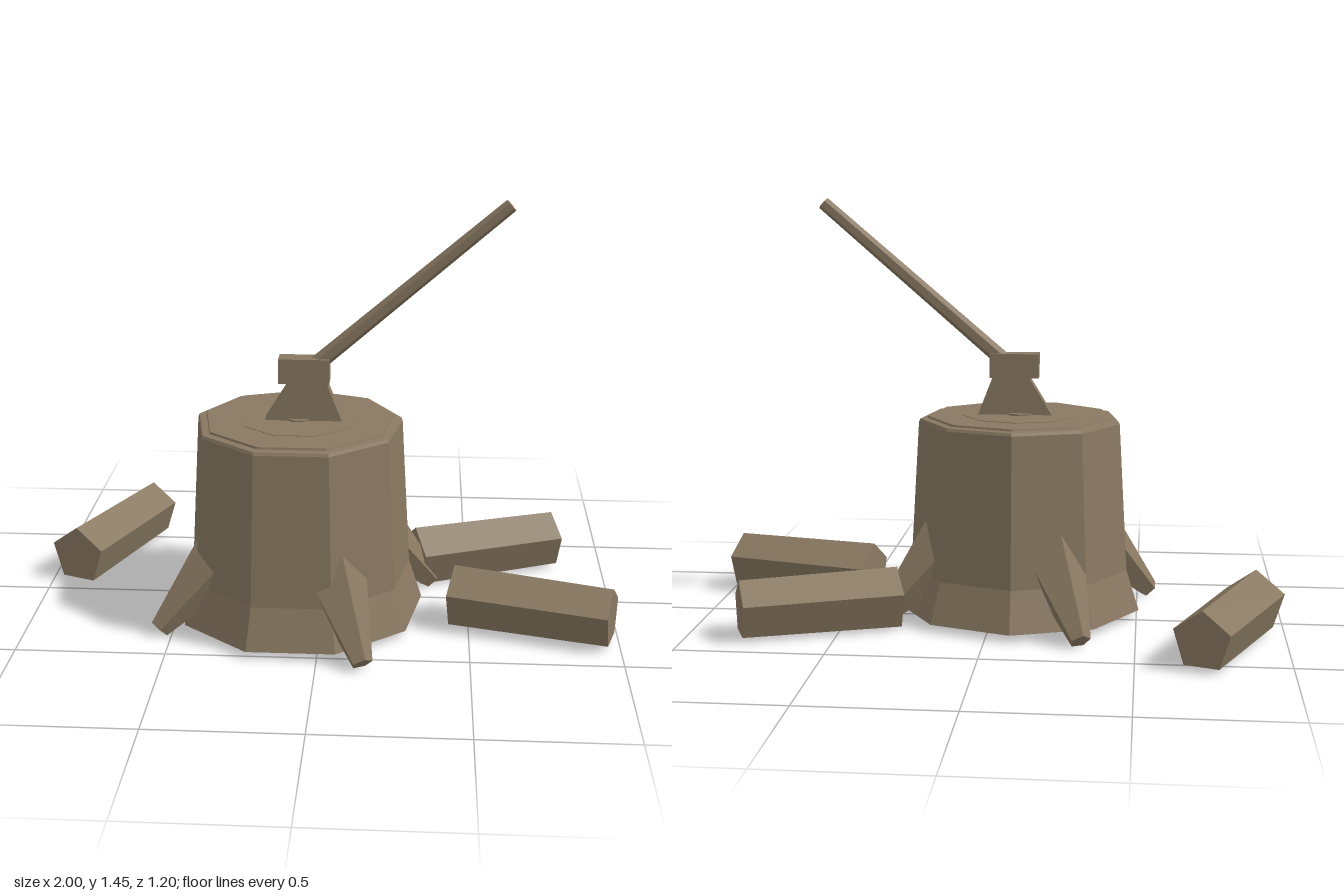
import * as THREE from 'three';

const wood = new THREE.MeshStandardMaterial({ color: 0x8a7962, flatShading: true });
wood.name = 'weathered wood';

const V = (x, y, z) => new THREE.Vector3(x, y, z);
const CX = -0.085, CZ = 0.115; // stump axis

function add(parent, name, geometry) {
  const mesh = new THREE.Mesh(geometry, wood);
  mesh.name = name;
  parent.add(mesh);
  return mesh;
}

// Tapered prism from a to b, with one ridge facing up
function prism(a, b, ra, rb, sides) {
  const g = new THREE.CylinderGeometry(rb, ra, a.distanceTo(b), sides);
  const dir = b.clone().sub(a).normalize();
  const up = V(0, 1, 0).addScaledVector(dir, -dir.y).normalize();
  const m = new THREE.Matrix4().makeBasis(dir.clone().cross(up), dir, up);
  m.setPosition(a.clone().add(b).multiplyScalar(0.5));
  return g.applyMatrix4(m);
}

export function createModel() {
  const model = new THREE.Group();
  model.name = 'choppingStump';

  // Nine-sided trunk with flared foot and stepped cut top
  const profile = [
    [0, 0.03], [0.43, 0.03], [0.385, 0.17], [0.355, 0.685], [0.35, 0.695],
    [0.325, 0.697], [0.323, 0.704], [0, 0.704],
  ].map(([r, y]) => new THREE.Vector2(r, y));
  add(model, 'trunk', new THREE.LatheGeometry(profile, 9, Math.PI)).position.set(CX, 0, CZ);

  // Growth rings on the cut
  [[0.2, 0.002], [0.05, 0.008]].forEach(([r, h]) => {
    const ring = add(model, 'growthRing', new THREE.CylinderGeometry(r, r, h, 9, 1, false, Math.PI));
    ring.position.set(CX, 0.704 + h / 2, CZ);
  });

  // Four roots, a quarter turn apart
  for (let i = 0; i < 4; i++) {
    const a = THREE.MathUtils.degToRad(62.7 + i * 90);
    const at = (r, y) => V(CX + r * Math.cos(a), y, CZ + r * Math.sin(a));
    add(model, 'root', prism(at(0.263, 0.278), at(0.515, 0.026), 0.12, 0.036, 5));
  }

  // Split logs: thick end, thin end
  const logs = [
    [[-0.905, -0.065], [-0.708, -0.572]],
    [[0.315, -0.145], [0.815, -0.35]],
    [[0.45, 0.183], [0.973, 0.337]],
  ];
  for (const [p, q] of logs) {
    add(model, 'log', prism(V(p[0], 0.105, p[1]), V(q[0], 0.104, q[1]), 0.107, 0.1, 5));
  }

  // Axe stuck in the stump
  const axe = new THREE.Group();
  axe.name = 'axe';
  model.add(axe);
  const blade = new THREE.Shape([
    [-0.21, 0.685], [0.07, 0.685], [0.01, 0.84], [-0.115, 0.84],
  ].map(([x, y]) => new THREE.Vector2(x, y)));
  const bladeGeometry = new THREE.ExtrudeGeometry(blade, { depth: 0.05, bevelEnabled: false });
  add(axe, 'axeBlade', bladeGeometry).position.z = 0.096;
  add(axe, 'axeHead', new THREE.BoxGeometry(0.17, 0.085, 0.067)).position.set(-0.065, 0.878, 0.121);
  add(axe, 'axeHandle', prism(V(-0.03, 0.892, 0.12), V(0.605, 1.439, 0.12), 0.028, 0.023, 6));

  return model;
}
